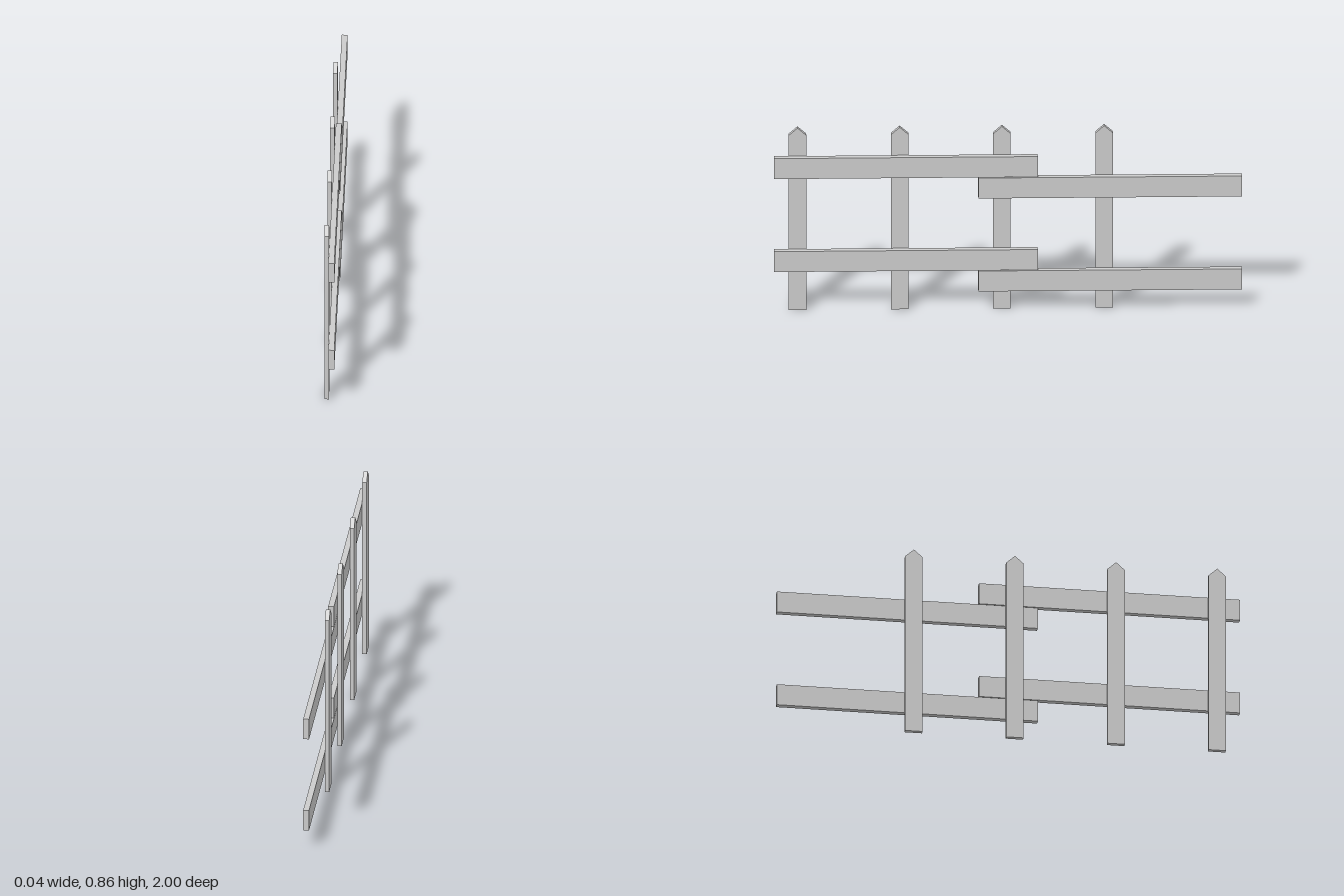
import * as THREE from 'three';

const material = new THREE.MeshStandardMaterial({ color: 0xcccccc, flatShading: true });

// Thickness ranges along x: pickets behind, rails in front
const BACK = -0.022, JOINT = -0.003, FRONT = 0.022;

// Upright board with a pointed top, extruded along x
function makePicket(z) {
  const half = 0.0375, shoulder = 0.821, tip = 0.855;
  const shape = new THREE.Shape([
    new THREE.Vector2(-half, 0),
    new THREE.Vector2(half, 0),
    new THREE.Vector2(half, shoulder),
    new THREE.Vector2(0, tip),
    new THREE.Vector2(-half, shoulder),
  ]);
  const geometry = new THREE.ExtrudeGeometry(shape, { depth: JOINT - BACK, bevelEnabled: false });
  geometry.rotateY(Math.PI / 2);
  const picket = new THREE.Mesh(geometry, material);
  picket.position.set(BACK, 0, z);
  return picket;
}

// Horizontal board running along z
function makeRail(bottom, zCentre) {
  const height = 0.096, length = 1.127;
  const rail = new THREE.Mesh(new THREE.BoxGeometry(FRONT - JOINT, height, length), material);
  rail.position.set((FRONT + JOINT) / 2, bottom + height / 2, zCentre);
  return rail;
}

export function createModel() {
  const fence = new THREE.Group();
  fence.name = 'fence';

  // Four evenly spaced pickets
  for (let i = 0; i < 4; i++) {
    const picket = makePicket(0.899 - i * 0.4367);
    picket.name = `picket${i + 1}`;
    fence.add(picket);
  }

  // Two stepped, overlapping pairs of rails
  const pairs = [
    { name: 'front', z: 0.4365, drop: 0 },
    { name: 'rear', z: -0.4365, drop: 0.099 },
  ];
  for (const { name, z, drop } of pairs) {
    for (const [level, bottom] of [['Lower', 0.191], ['Upper', 0.628]]) {
      const rail = makeRail(bottom - drop, z);
      rail.name = `${name}${level}Rail`;
      fence.add(rail);
    }
  }
  return fence;
}
